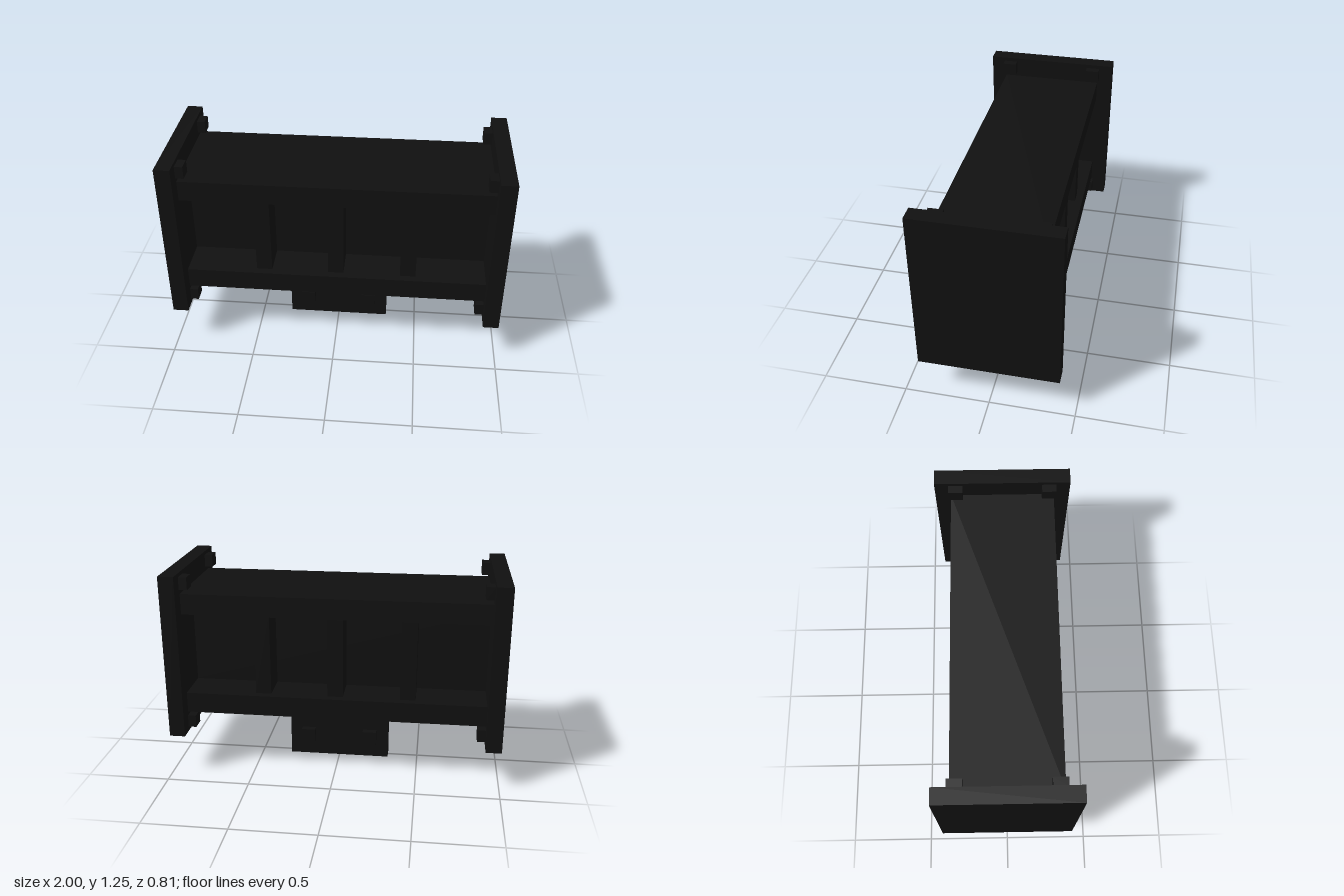
import * as THREE from 'three';

const black = new THREE.MeshStandardMaterial({ color: 0x101010 });
black.name = 'black';

export function createModel() {
  const model = new THREE.Group();
  model.name = 'beamFixture';

  // Box given by its centre and size
  const box = (name, x, y, z, w, h, d) => {
    const mesh = new THREE.Mesh(new THREE.BoxGeometry(w, h, d), black);
    mesh.name = name;
    mesh.position.set(x, y, z);
    model.add(mesh);
  };

  // Beam: two flanges joined by a web
  box('topFlange', 0, 1.0625, 0, 1.82, 0.125, 0.625);
  box('bottomFlange', 0, 0.4375, 0, 1.82, 0.125, 0.625);
  box('web', 0, 0.75, 0, 1.82, 0.5, 0.14);

  // Stiffening ribs on both sides of the web
  for (const x of [-0.4375, 0, 0.4375]) {
    box('rib', x, 0.75, 0, 0.094, 0.5, 0.53);
  }

  // End plates with four bolts on each inner face
  for (const side of [-1, 1]) {
    box('endPlate', side * 0.953, 0.75, 0, 0.094, 1, 0.8125);
    for (const y of [0.315, 1.19]) {
      for (const z of [-0.28, 0.28]) {
        box('endBolt', side * 0.882, y, z, 0.05, 0.075, 0.085);
      }
    }
  }

  // Hanging lug with its mounting plate and through bolts
  box('lug', 0, 0.1875, 0, 0.625, 0.375, 0.086);
  box('lugBase', 0, 0.36, 0, 0.625, 0.03, 0.23);
  for (const x of [-0.195, 0.195]) {
    box('lugBolt', x, 0.14, 0, 0.086, 0.088, 0.164);
  }

  return model;
}
